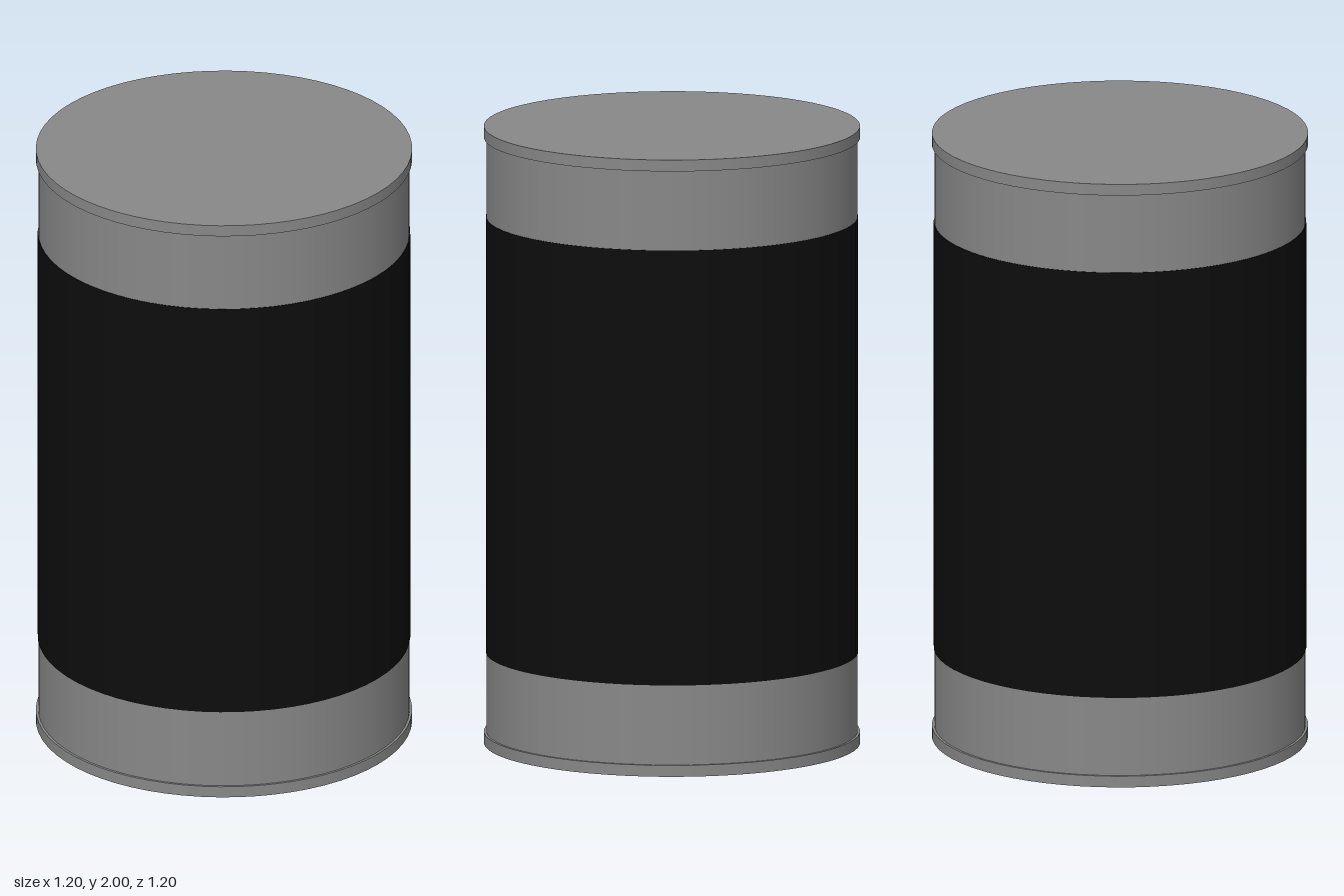
import * as THREE from 'three';

const SIDES = 64;

export function createModel() {
  const model = new THREE.Group();
  model.name = 'canister';

  const metal = new THREE.MeshStandardMaterial({ color: 0x888888 });
  metal.name = 'grey metal';
  const black = new THREE.MeshStandardMaterial({ color: 0x0d0d0d });
  black.name = 'black wrap';

  // Upright cylinder between two heights
  function drum(name, radius, y0, y1, material, open) {
    const geometry = new THREE.CylinderGeometry(radius, radius, y1 - y0, SIDES, 1, open);
    const mesh = new THREE.Mesh(geometry, material);
    mesh.name = name;
    mesh.position.y = (y0 + y1) / 2;
    model.add(mesh);
  }

  // Metal body with the wide dark wrap around its middle
  drum('body', 0.592, 0.02, 1.98, metal, true);
  drum('wrap', 0.594, 0.295, 1.705, black, false);

  // Slightly wider end caps
  drum('bottomCap', 0.6, 0, 0.037, metal, false);
  drum('topCap', 0.6, 1.963, 2, metal, false);

  return model;
}
